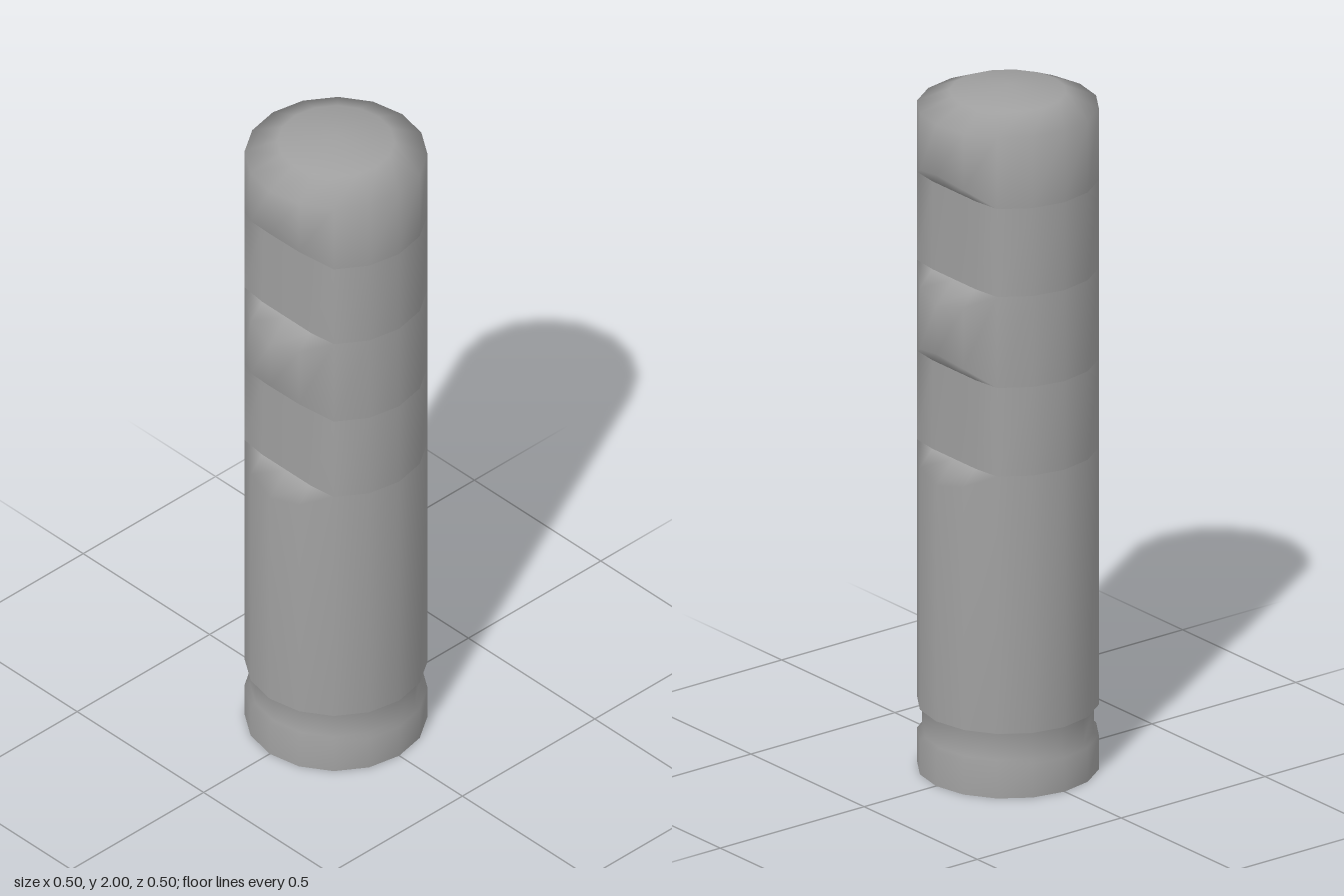
import * as THREE from 'three';
import { mergeVertices } from 'three/addons/utils/BufferGeometryUtils.js';

const SIDES = 16, R = 0.25, GROOVE_R = 0.236, FLAT = 0.187;
const material = new THREE.MeshStandardMaterial({ color: 0xa0a0a0 });

// One ring of points, starting on +z and running towards +x
function ring(radius, y) {
  return Array.from({ length: SIDES }, (_, i) => {
    const a = (i / SIDES) * Math.PI * 2;
    return [radius * Math.sin(a), y, radius * Math.cos(a)];
  });
}

// Ring pressed flat on the front and back
const flatRing = y => ring(R, y).map(([x, , z]) =>
  [x, y, THREE.MathUtils.clamp(z, -FLAT, FLAT)]);

// Outer edge of a notch bevel: rises or falls with its distance beyond the flat
const bevelRing = (y, dir) => ring(R, y).map(([x, , z]) =>
  [x, y + dir * Math.max(0, Math.abs(z) - FLAT), z]);

// Skin through a stack of rings, welded so it is smooth within itself
function loft(name, rings) {
  const index = [];
  for (let r = 0; r < rings.length - 1; r++) {
    for (let i = 0; i < SIDES; i++) {
      const j = (i + 1) % SIDES;
      const a = r * SIDES + i, b = r * SIDES + j;
      index.push(a, b, b + SIDES, a, b + SIDES, a + SIDES);
    }
  }
  const geometry = new THREE.BufferGeometry();
  geometry.setAttribute('position', new THREE.Float32BufferAttribute(rings.flat(2), 3));
  geometry.setIndex(index);
  const welded = mergeVertices(geometry);
  welded.computeVertexNormals();
  const mesh = new THREE.Mesh(welded, material);
  mesh.name = name;
  return mesh;
}

export function createModel() {
  const model = new THREE.Group();
  model.name = 'grip';

  // Flat underside
  model.add(loft('bottom', [ring(0, 0), ring(R, 0)]));

  // Pommel ring, shallow groove and lower shaft up to the first notch
  let section = [
    ring(R, 0), ring(R, 0.1),
    ring(GROOVE_R, 0.107), ring(GROOVE_R, 0.183),
    ring(R, 0.19)
  ];

  // Two notches cut into the front and back; bevels blend into the shaft
  for (const [low, high] of [[0.945, 1.205], [1.472, 1.73]]) {
    model.add(
      loft('shaftSection', [...section, bevelRing(low, -1), flatRing(low)]),
      loft('notchFlat', [flatRing(low), flatRing(high)])
    );
    section = [flatRing(high), bevelRing(high, 1)];
  }

  // Head with its low domed cap
  model.add(loft('head', [...section, ring(R, 1.94), ring(0.16, 1.98), ring(0, 2)]));

  return model;
}
